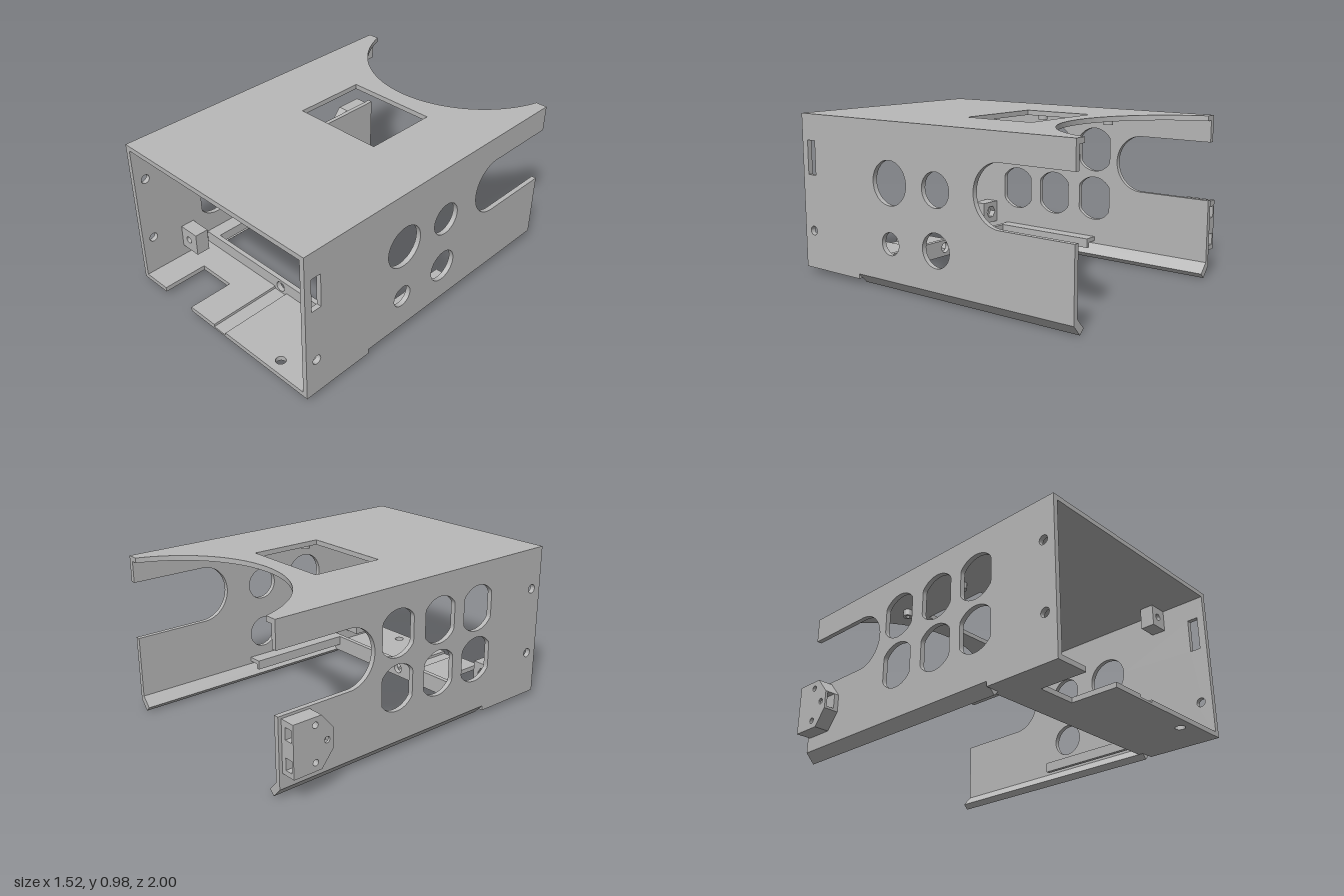
import * as THREE from 'three';
import { toCreasedNormals } from 'three/addons/utils/BufferGeometryUtils.js';

const grey = new THREE.MeshStandardMaterial({ color: 0xb8b8b8 });
grey.name = 'light grey plastic';

// Outline from corner points, with optional holes
function poly(points, holes = []) {
  const s = new THREE.Shape(points.map(([a, b]) => new THREE.Vector2(a, b)));
  s.holes.push(...holes);
  return s;
}
const rect = (a0, b0, a1, b1, holes) => poly([[a0, b0], [a1, b0], [a1, b1], [a0, b1]], holes);

// Regular hole; maxHalf flattens its two sides
function round(a, b, r, n = 32, maxHalf = r) {
  const pts = [];
  for (let i = 0; i < n; i++) {
    const t = (i / n) * Math.PI * 2;
    const d = Math.max(-maxHalf, Math.min(maxHalf, r * Math.cos(t)));
    pts.push([a + d, b + r * Math.sin(t)]);
  }
  return poly(pts);
}

// Extrude between two positions along an axis.
// Outline axes: 'x' uses (-z, y), 'y' uses (x, -z), 'z' uses (x, y).
function slab(name, shapes, axis, from, to) {
  let g = new THREE.ExtrudeGeometry(shapes, { depth: to - from, bevelEnabled: false, curveSegments: 48 });
  g.translate(0, 0, from);
  if (axis === 'x') g.rotateY(Math.PI / 2);
  if (axis === 'y') g.rotateX(-Math.PI / 2);
  g = toCreasedNormals(g, 0.5);
  const m = new THREE.Mesh(g, grey);
  m.name = name;
  return m;
}

// Side wall outline with the round-ended slot open to the rear
function wallShape(holes) {
  const s = new THREE.Shape();
  s.moveTo(-1, 0.03);
  s.lineTo(-0.53, 0.03);
  s.lineTo(-0.53, 0.09);
  s.lineTo(1, 0.09);
  s.lineTo(1, 0.47);
  s.lineTo(0.535, 0.47);
  s.absarc(0.535, 0.645, 0.175, -Math.PI / 2, Math.PI / 2, true);
  s.lineTo(1, 0.82);
  s.lineTo(1, 0.95);
  s.lineTo(-1, 0.95);
  s.closePath();
  s.holes.push(...holes);
  return s;
}

export function createModel() {
  const model = new THREE.Group();
  model.name = 'openEnclosure';
  const add = (...args) => model.add(slab(...args));

  // Top plate with window and rear arc
  const top = new THREE.Shape();
  top.moveTo(-0.67, -1);
  top.lineTo(0.76, -1);
  top.lineTo(0.76, 1);
  top.lineTo(0.689, 1);
  top.absarc(0.045, 1.197, 0.673, -0.297, -Math.PI + 0.297, true);
  top.lineTo(-0.67, 1);
  top.closePath();
  top.holes.push(rect(-0.24, -0.05, 0.33, 0.41));
  add('topPlate', top, 'y', 0.95, 0.98);

  // Wall with four round holes, a slot and a screw hole
  add('rightWall', wallShape([
    rect(-0.955, 0.61, -0.89, 0.82), round(-0.925, 0.265, 0.028),
    round(-0.26, 0.63, 0.13), round(0.09, 0.63, 0.1),
    round(-0.26, 0.28, 0.067), round(0.09, 0.295, 0.1),
  ]), 'x', 0.73, 0.76);

  // Wall with six flat-sided vents and two screw holes
  const vents = [round(-0.925, 0.725, 0.028), round(-0.925, 0.305, 0.028)];
  for (const z of [0.44, 0.13, -0.19])
    for (const y of [0.39, 0.71]) vents.push(round(-z, y, 0.14, 48, 0.115));
  add('leftWall', wallShape(vents), 'x', -0.67, -0.64);

  // Front floor: thin base and a grooved upper layer
  const notched = (x1, holes) => poly([
    [-0.64, -1], [-0.46, -1], [-0.46, -0.71], [-0.215, -0.71], [-0.215, -1],
    [x1, -1], [x1, -0.5], [-0.64, -0.5]], holes);
  const floorHole = () => round(0.475, -0.925, 0.03);
  add('floorBase', notched(0.73, [floorHole()]), 'y', 0.03, 0.043);
  add('floorTop', [notched(-0.005), rect(0.095, -1, 0.73, -0.5, [floorHole()])], 'y', 0.043, 0.06);
  add('crossBar', rect(-0.64, 0.043, 0.73, 0.135, [round(0.045, 0.085, 0.033)]), 'z', 0.5, 0.53);

  // Bent lower lips and inner rails, mirrored about the middle of the case
  const mid = 0.045;
  for (const s of [1, -1]) {
    const mirror = pts => poly(pts.map(([x, y]) => [mid + s * (x - mid), y]));
    add('lowerLip', mirror([[0.76, 0.09], [0.76, 0.06], [0.705, 0], [0.675, 0.03], [0.73, 0.09]]), 'z', -1, 0.53);
    add('innerRail', mirror([[0.73, 0.135], [0.64, 0.135], [0.64, 0.075], [0.665, 0.075], [0.665, 0.107], [0.73, 0.107]]),
      'z', -0.2, 0.5);
  }

  // Mounting blocks: round hole in front, hexagonal nut pocket behind
  const blocks = [
    [-0.64, 0.825, -0.52, 0.95, -0.575, 0.885], [0.61, 0.815, 0.73, 0.95, 0.665, 0.885],
    [-0.64, 0.13, -0.5, 0.275, -0.575, 0.205], [0.61, 0.13, 0.73, 0.275, 0.665, 0.205],
  ];
  for (const [x0, y0, x1, y1, hx, hy] of blocks) {
    add('mountBlockFront', rect(x0, y0, x1, y1, [round(hx, hy, 0.022)]), 'z', 0.67, 0.72);
    add('mountBlockNutPocket', rect(x0, y0, x1, y1, [round(hx, hy, 0.043, 6)]), 'z', 0.63, 0.67);
  }

  // Hollow pegs under the top plate
  for (const x of [-0.385, 0.43])
    for (const z of [-0.45, 0.04])
      add('topPeg', poly(round(x, -z, 0.029).getPoints().map(p => [p.x, p.y]), [round(x, -z, 0.013)]), 'y', 0.91, 0.95);

  // Outer latch block in three layers; the middle one carries the pockets
  const edge = [[0.72, 0.25], [0.8, 0.15], [0.98, 0.15], [0.98, 0.455], [0.8, 0.455], [0.72, 0.36]];
  const screws = () => [round(0.84, 0.41, 0.018, 16), round(0.84, 0.2, 0.018, 16)];
  add('latchOuter', poly(edge, [...screws(), round(0.765, 0.305, 0.018, 16)]), 'x', -0.765, -0.75);
  add('latchMiddle', poly([
    [0.72, 0.25], [0.8, 0.15], [0.98, 0.15],
    [0.98, 0.18], [0.88, 0.18], [0.88, 0.25], [0.98, 0.25],
    [0.98, 0.35], [0.88, 0.35], [0.88, 0.42], [0.98, 0.42],
    [0.98, 0.455], [0.8, 0.455], [0.72, 0.36],
    [0.8, 0.36], [0.8, 0.265], [0.72, 0.265]], screws()), 'x', -0.75, -0.7);
  add('latchInner', poly(edge), 'x', -0.7, -0.67);

  return model;
}
